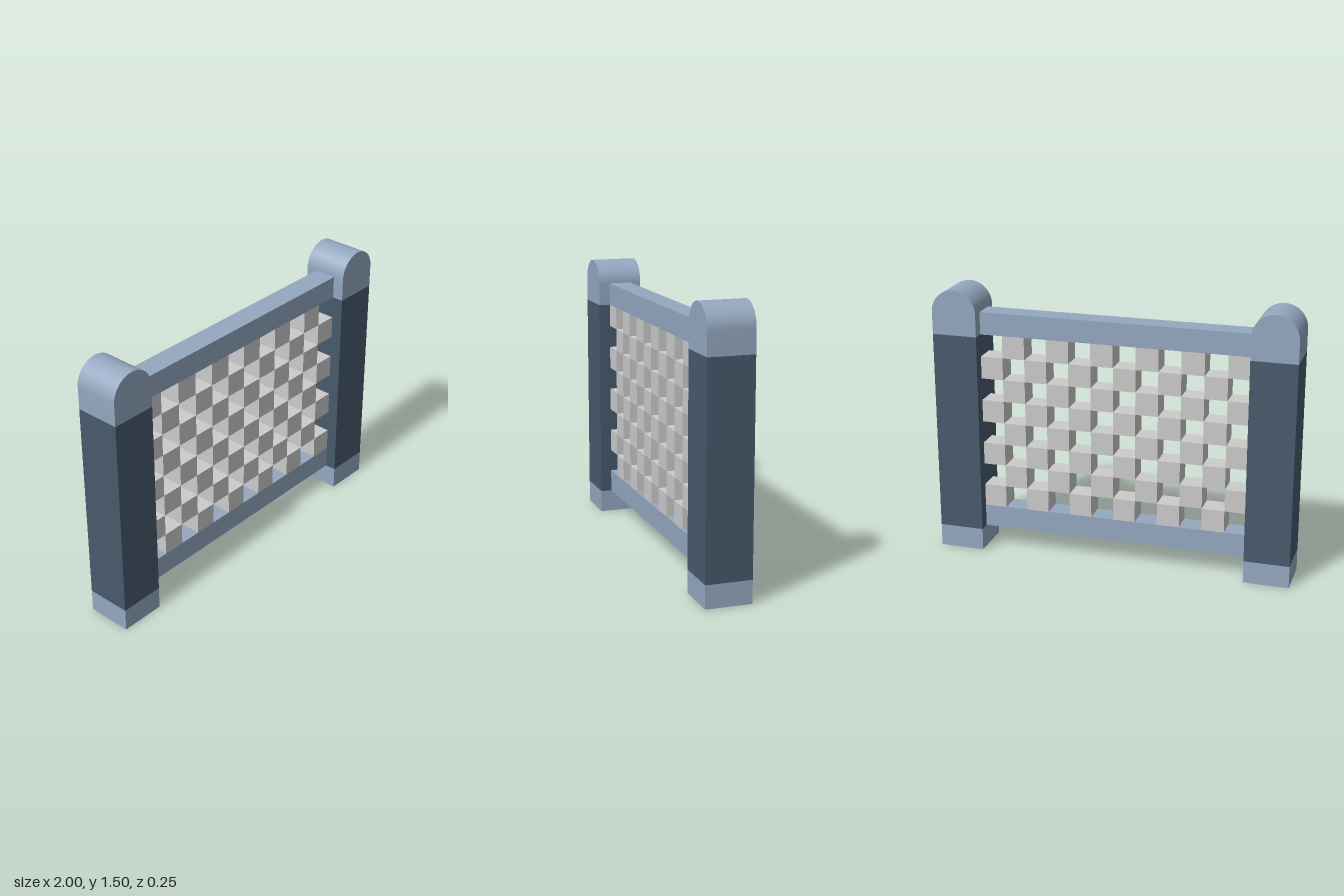
import * as THREE from 'three';
import { toCreasedNormals } from 'three/addons/utils/BufferGeometryUtils.js';

export function createModel() {
  const model = new THREE.Group();
  const frameMat = new THREE.MeshStandardMaterial({ color: 0x94a8c0 });
  const postMat = new THREE.MeshStandardMaterial({ color: 0x475a6c });
  const latticeMat = new THREE.MeshStandardMaterial({ color: 0xcccccc });

  const U = 0.125; // one lattice cell
  const add = (parent, name, geometry, material, x, y, z = 0) => {
    const mesh = new THREE.Mesh(geometry, material);
    mesh.name = name;
    mesh.position.set(x, y, z);
    parent.add(mesh);
  };

  // Arched cap profile: short square base under a half round
  const arch = new THREE.Shape();
  arch.moveTo(-U, 0);
  arch.lineTo(U, 0);
  arch.lineTo(U, U);
  arch.absarc(0, U, U, 0, Math.PI, false);
  arch.closePath();
  const capGeo = toCreasedNormals(
    new THREE.ExtrudeGeometry(arch, { depth: 2 * U, bevelEnabled: false, curveSegments: 32 }), 0.5);

  // Posts: foot, dark shaft and rounded cap
  const footGeo = new THREE.BoxGeometry(2 * U, U, 2 * U);
  const shaftGeo = new THREE.BoxGeometry(2 * U, 9 * U, 2 * U);
  for (const [side, s] of [['left', 1], ['right', -1]]) {
    const post = new THREE.Group();
    post.name = side + 'Post';
    post.position.x = s * 7 * U;
    add(post, side + 'Foot', footGeo, frameMat, 0, U / 2);
    add(post, side + 'Shaft', shaftGeo, postMat, 0, 5.5 * U);
    add(post, side + 'Cap', capGeo, frameMat, 0, 10 * U, -U);
    model.add(post);
  }

  // Rails
  const railGeo = new THREE.BoxGeometry(12 * U, U, U);
  add(model, 'bottomRail', railGeo, frameMat, 0, 1.5 * U);
  add(model, 'topRail', railGeo, frameMat, 0, 10.5 * U);

  // Checkerboard lattice of cubes, 12 columns by 8 rows
  const lattice = new THREE.Group();
  lattice.name = 'lattice';
  const cubeGeo = new THREE.BoxGeometry(U, U, U);
  for (let row = 0; row < 8; row++) {
    for (let col = 0; col < 12; col++) {
      if ((row + col) % 2 === 0) continue;
      add(lattice, 'latticeBlock', cubeGeo, latticeMat, (col - 5.5) * U, (row + 2.5) * U);
    }
  }
  model.add(lattice);

  return model;
}
